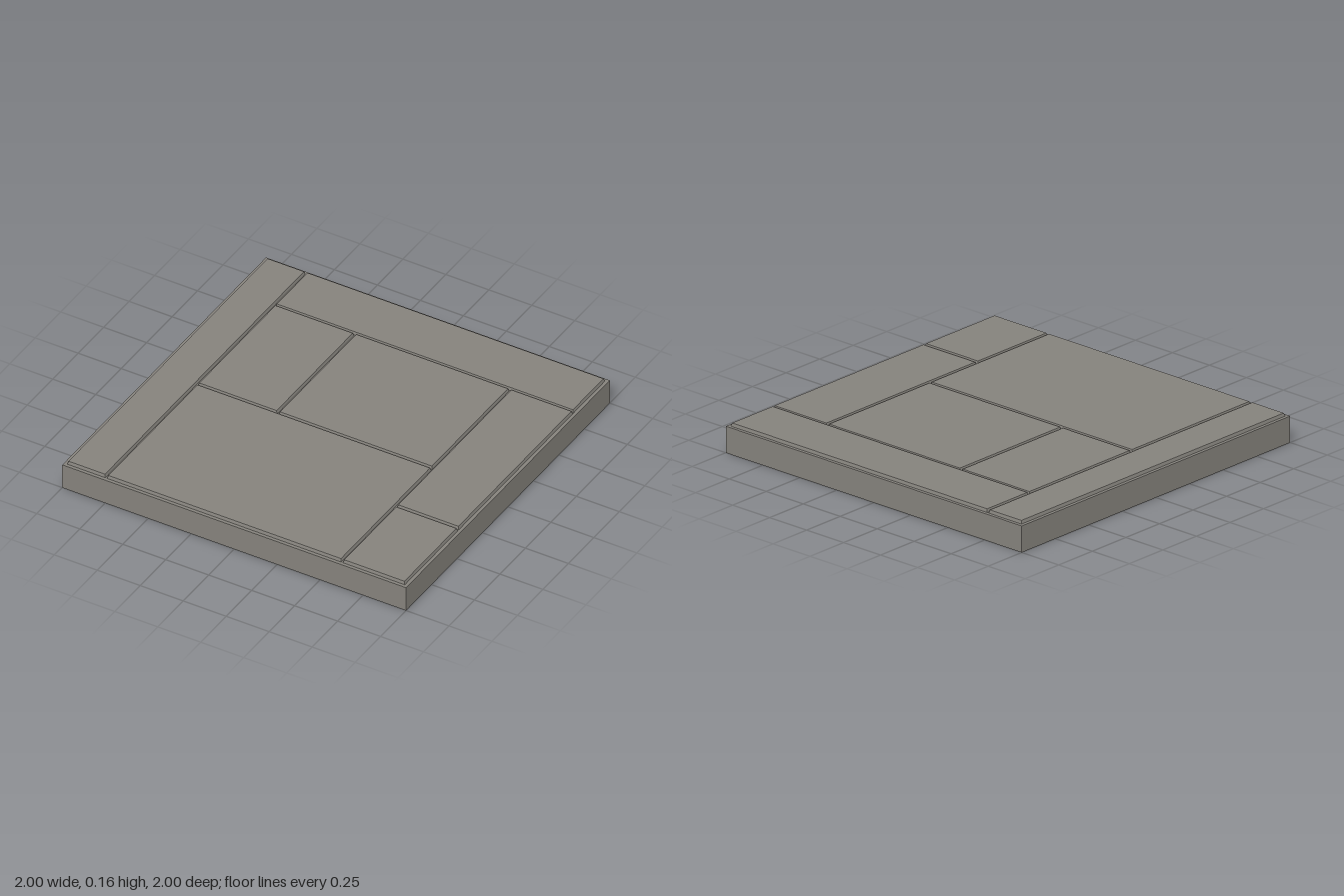
import * as THREE from 'three';

const BASE_TOP = 0.143;
const PANEL_TOP = 0.16;
const BEVEL = 0.005;

// Shallow panel whose top edges lean inwards, leaving V-shaped joints
function panelGeometry(x0, x1, z0, z1) {
  const w = x1 - x0, d = z1 - z0, h = PANEL_TOP - BASE_TOP;
  const box = new THREE.BoxGeometry(w, h, d);
  const p = box.attributes.position;
  for (let i = 0; i < p.count; i++) {
    if (p.getY(i) > 0) {
      p.setX(i, p.getX(i) - Math.sign(p.getX(i)) * BEVEL);
      p.setZ(i, p.getZ(i) - Math.sign(p.getZ(i)) * BEVEL);
    }
  }
  box.translate((x0 + x1) / 2, BASE_TOP + h / 2, (z0 + z1) / 2);
  box.computeVertexNormals();
  return box;
}

export function createModel() {
  const group = new THREE.Group();
  group.name = 'pavedFloorTile';
  const stone = new THREE.MeshStandardMaterial({ color: 0x85827c });
  stone.name = 'grey stone';

  const add = (name, geometry) => {
    const mesh = new THREE.Mesh(geometry, stone);
    mesh.name = name;
    group.add(mesh);
  };

  // Square slab
  add('baseSlab', new THREE.BoxGeometry(2, BASE_TOP, 2).translate(0, BASE_TOP / 2, 0));

  // Paving stones: name, x range, z range
  const stones = [
    ['longSideStone', -0.982, -0.76, -0.982, 0.982],
    ['backStone', -0.75, 0.982, -0.982, -0.672],
    ['smallMiddleStone', -0.75, -0.29, -0.667, 0.09],
    ['middleStone', -0.28, 0.613, -0.667, 0.09],
    ['largeFrontStone', -0.75, 0.613, 0.098, 0.982],
    ['sideStone', 0.622, 0.982, -0.667, 0.452],
    ['cornerStone', 0.622, 0.982, 0.462, 0.982],
  ];
  for (const [name, ...bounds] of stones) add(name, panelGeometry(...bounds));

  return group;
}
